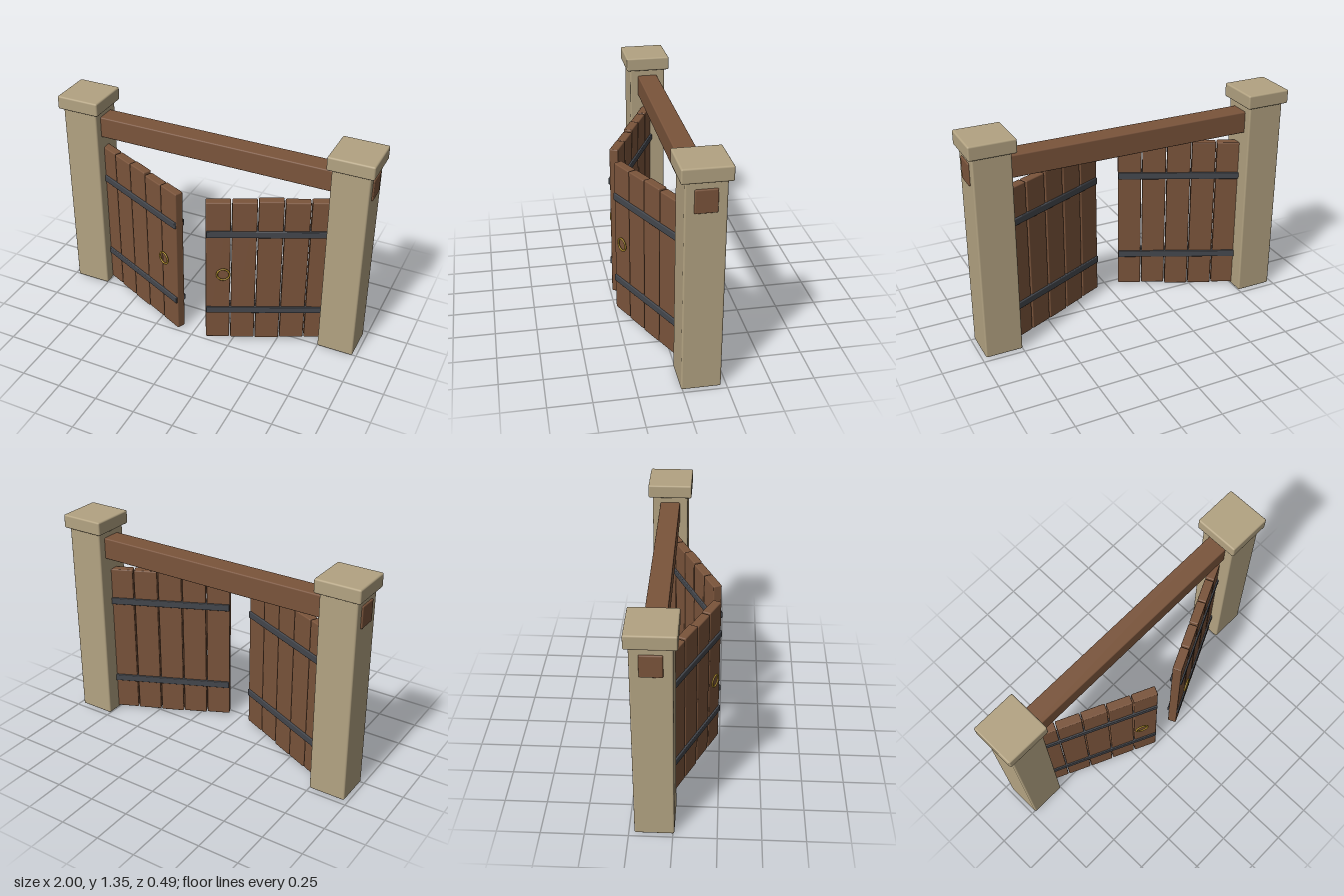
import * as THREE from 'three';
import { RoundedBoxGeometry } from 'three/addons/geometries/RoundedBoxGeometry.js';

const material = (name, color) => {
  const m = new THREE.MeshStandardMaterial({ color });
  m.name = name;
  return m;
};

export function createModel() {
  const stone = material('stone', 0xb3a382);
  const wood = material('wood', 0x7a543b);
  const iron = material('iron', 0x44474d);
  const brass = material('brass', 0xa58428);

  const gate = new THREE.Group();
  gate.name = 'gate';

  // Softly bevelled block centred at x, y, z
  const block = (parent, name, mat, [w, h, d], [x, y, z], bevel = 0.008) => {
    const mesh = new THREE.Mesh(new RoundedBoxGeometry(w, h, d, 2, bevel), mat);
    mesh.name = name;
    mesh.position.set(x, y, z);
    parent.add(mesh);
    return mesh;
  };

  const depth = -0.105; // z of the posts and hinges
  const angle = THREE.MathUtils.degToRad(25);
  const pitch = 0.153; // plank spacing
  const gap = 0.007;
  const leafWidth = pitch * 5;

  // Bottom and top of each plank, from hinge to free edge
  const planks = {
    '-1': [[0.012, 1.008], [0.008, 1.006], [0.006, 1.011], [0.015, 1.0], [0.012, 1.004]],
    '1': [[0.012, 1.004], [0.01, 1.003], [0.007, 1.01], [0.01, 1.003], [0.014, 1.002]],
  };

  // Crossbeam running through both posts
  block(gate, 'crossbeam', wood, [1.97, 0.135, 0.125], [0, 1.157, depth]);

  for (const side of [-1, 1]) {
    const label = side > 0 ? 'left' : 'right';

    // Stone post and cap
    block(gate, `${label}Post`, stone, [0.226, 1.27, 0.226], [side * 0.863, 0.635, depth], 0.01);
    block(gate, `${label}PostCap`, stone, [0.275, 0.085, 0.275], [side * 0.8625, 1.3075, depth], 0.01);

    // Door leaf, swung open about its hinge
    const leaf = new THREE.Group();
    leaf.name = `${label}Leaf`;
    leaf.position.set(side * 0.775, 0, depth);
    leaf.rotation.y = side * angle;
    gate.add(leaf);

    planks[side].forEach(([bottom, top], i) => {
      block(leaf, 'plank', wood, [pitch - gap, top - bottom, 0.055],
        [-side * pitch * (i + 0.5), (bottom + top) / 2, 0], 0.007);
    });

    // Iron straps, proud of the planks on both faces
    for (const y of [0.232, 0.788]) {
      block(leaf, 'strap', iron, [leafWidth - 0.012, 0.044, 0.075],
        [-side * leafWidth / 2, y, 0], 0.005);
    }

    // Ring handle
    const ring = new THREE.Mesh(new THREE.TorusGeometry(0.038, 0.006, 8, 24), brass);
    ring.name = 'ringHandle';
    ring.position.set(-side * (leafWidth - 0.108), 0.51, 0.047);
    leaf.add(ring);
  }

  return gate;
}
